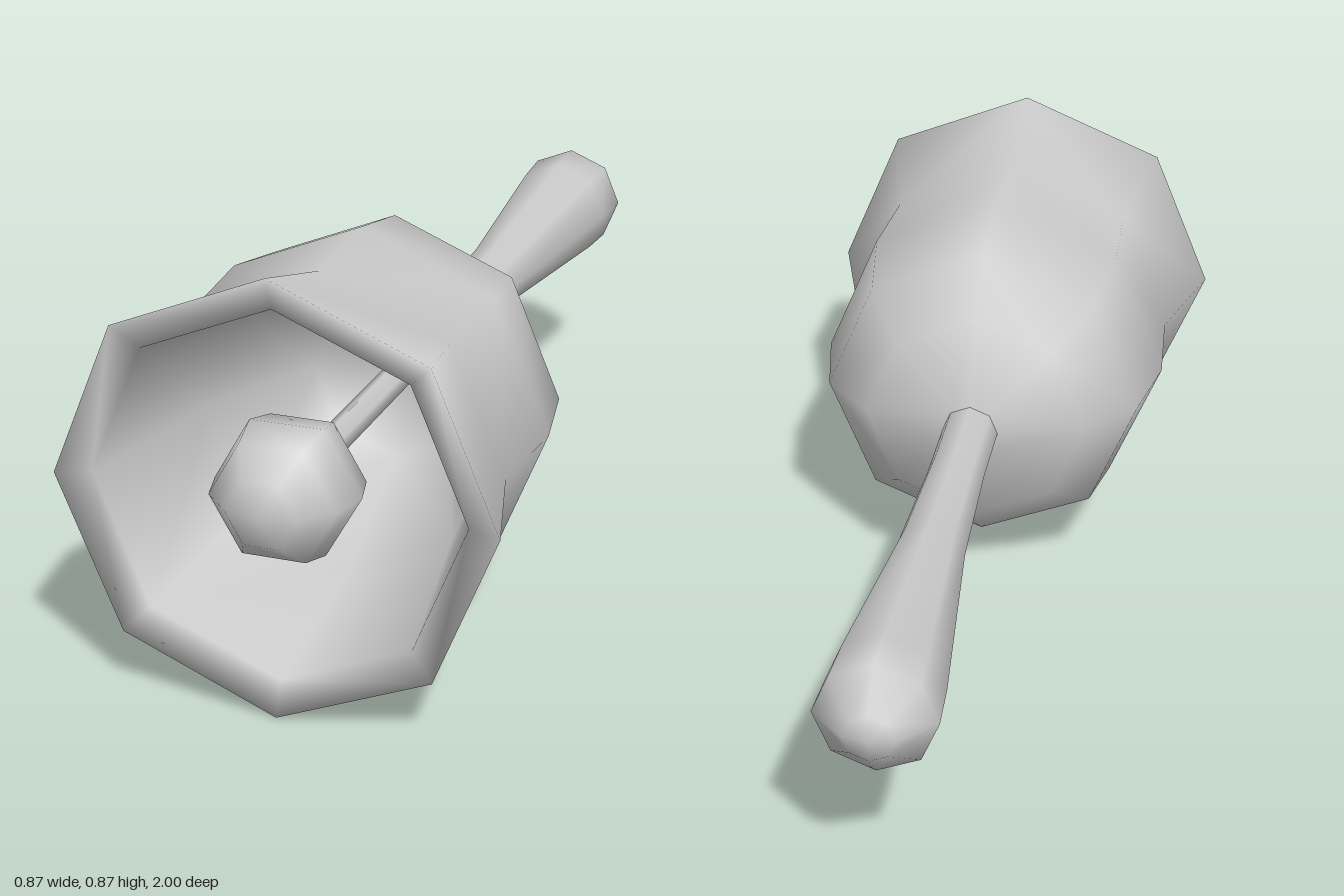
import * as THREE from 'three';
import { mergeVertices } from 'three/addons/utils/BufferGeometryUtils.js';

const AXIS_Y = 0.437;
const material = new THREE.MeshStandardMaterial({ color: 0xcccccc });

// Smooth surface through rings along z; profile entries are [z, radius].
function loft(profile, sides) {
  const positions = [];
  const index = [];
  for (const [z, r] of profile) {
    for (let j = 0; j < sides; j++) {
      const a = (j / sides) * Math.PI * 2;
      positions.push(r * Math.cos(a), r * Math.sin(a), z);
    }
  }
  for (let i = 0; i < profile.length - 1; i++) {
    for (let j = 0; j < sides; j++) {
      const k = (j + 1) % sides;
      const a = i * sides + j, b = i * sides + k;
      const d = a + sides, c = b + sides;
      // Alternating diagonals give the flare its faceted, mirrored look.
      if (j % 2 === 0) index.push(a, b, d, b, c, d);
      else index.push(a, b, c, a, c, d);
    }
  }
  let geometry = new THREE.BufferGeometry();
  geometry.setAttribute('position', new THREE.Float32BufferAttribute(positions, 3));
  geometry.setIndex(index);
  geometry = mergeVertices(geometry, 1e-5);
  geometry.computeVertexNormals();
  return geometry;
}

export function createModel() {
  const group = new THREE.Group();
  group.name = 'handBell';

  function add(name, geometry, z = 0) {
    const mesh = new THREE.Mesh(geometry, material);
    mesh.name = name;
    mesh.position.set(0, AXIS_Y, z);
    group.add(mesh);
  }

  // Bell: outside from crown to rim, then back along the hollow inside
  add('bell', loft([
    [0.125, 0.06], [0.178, 0.24], [0.287, 0.345], [0.467, 0.38], [0.685, 0.365], [0.935, 0.437],
    [0.91, 0.37], [0.55, 0.3], [0.3, 0.17], [0.24, 0],
  ], 8));

  // Handle: thin neck swelling to a rounded grip end
  add('handle', loft([
    [-1, 0], [-0.99, 0.05], [-0.925, 0.12], [-0.82, 0.115],
    [-0.36, 0.071], [-0.05, 0.06], [0.14, 0.06],
  ], 8));

  // Clapper ball and its rod
  const ball = new THREE.SphereGeometry(0.146, 6, 6);
  ball.rotateX(Math.PI / 2);
  add('clapperBall', ball, 0.854);

  const rod = new THREE.CylinderGeometry(0.03, 0.03, 0.52, 6);
  rod.rotateX(Math.PI / 2);
  add('clapperRod', rod, 0.49);

  return group;
}
